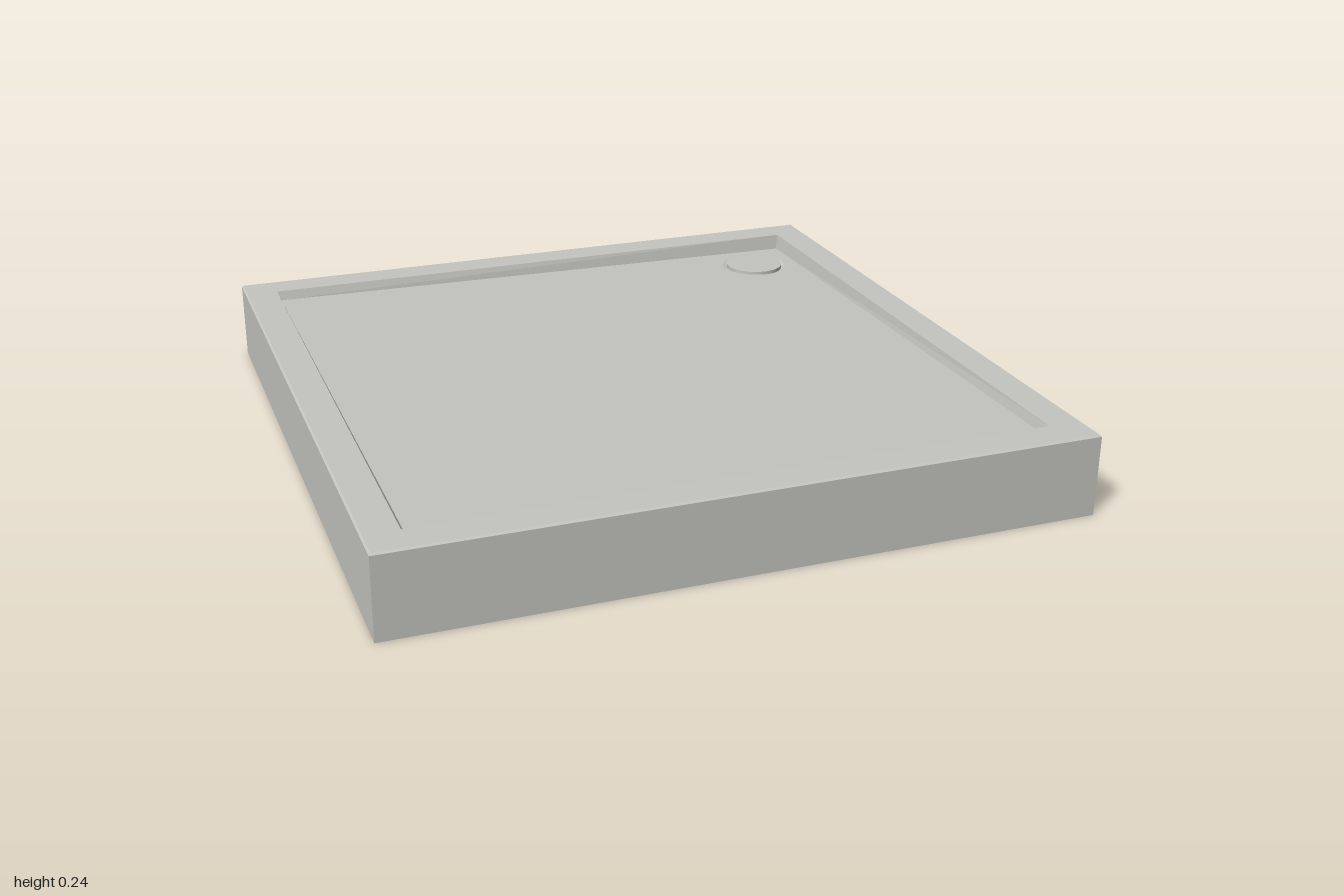
import * as THREE from 'three';

const grey = new THREE.MeshStandardMaterial({ color: 0xc4c4c0, side: THREE.DoubleSide });
grey.name = 'stone grey';

const RIM = 0.24;
const DRAIN = { x: 0.74, z: -0.74 };
// the basin floor falls gently towards the drain corner
const floorY = (x, z) => 0.211 - 0.011 * (x - z);

// square bands joining one [halfWidth, height] section to the next
function squareBands(sections) {
  const corners = [[1, 1], [1, -1], [-1, -1], [-1, 1]];
  const point = ([half, y], i) => {
    const [cx, cz] = corners[i % 4];
    const x = cx * half, z = cz * half;
    return [x, typeof y === 'function' ? y(x, z) : y, z];
  };
  const pos = [];
  for (let s = 0; s < sections.length - 1; s++) {
    for (let i = 0; i < 4; i++) {
      const a = point(sections[s], i), b = point(sections[s], i + 1);
      const c = point(sections[s + 1], i + 1), d = point(sections[s + 1], i);
      pos.push(...a, ...b, ...c, ...a, ...c, ...d);
    }
  }
  const geo = new THREE.BufferGeometry();
  geo.setAttribute('position', new THREE.Float32BufferAttribute(pos, 3));
  geo.computeVertexNormals();
  return geo;
}

export function createModel() {
  const group = new THREE.Group();
  group.name = 'showerTray';
  const add = (name, geo) => {
    const mesh = new THREE.Mesh(geo, grey);
    mesh.name = name;
    group.add(mesh);
    return mesh;
  };

  // thin shell, open underneath: skirt, eased edge, flat rim
  add('skirtAndRim', squareBands([[1, 0], [1, 0.235], [0.995, RIM], [0.9, RIM]]));

  // shallow step down from the rim to the floor
  add('basinWalls', squareBands([[0.9, RIM], [0.892, floorY]]));

  // sloping floor with a round opening for the drain
  const h = 0.892, holeR = 0.108;
  const shape = new THREE.Shape();
  shape.moveTo(-h, -h).lineTo(h, -h).lineTo(h, h).lineTo(-h, h).closePath();
  const hole = new THREE.Path();
  hole.absarc(DRAIN.x, -DRAIN.z, holeR, 0, Math.PI * 2, true);
  shape.holes.push(hole);
  const floor = new THREE.ShapeGeometry(shape, 48).rotateX(-Math.PI / 2);
  const p = floor.attributes.position;
  for (let i = 0; i < p.count; i++) p.setY(i, floorY(p.getX(i), p.getZ(i)));
  floor.computeVertexNormals();
  add('basinFloor', floor);

  // drain recess and its raised round cover
  const lathe = (pts) => new THREE.LatheGeometry(pts.map(([r, y]) => new THREE.Vector2(r, y)), 48);
  const y = floorY(DRAIN.x, DRAIN.z);
  add('drainRecess', lathe([[0, y - 0.007], [0.09, y - 0.007], [holeR, y]]))
    .position.set(DRAIN.x, 0, DRAIN.z);
  add('drainCover', new THREE.CylinderGeometry(0.095, 0.095, 0.012, 48))
    .position.set(DRAIN.x, y + 0.001, DRAIN.z);

  return group;
}
